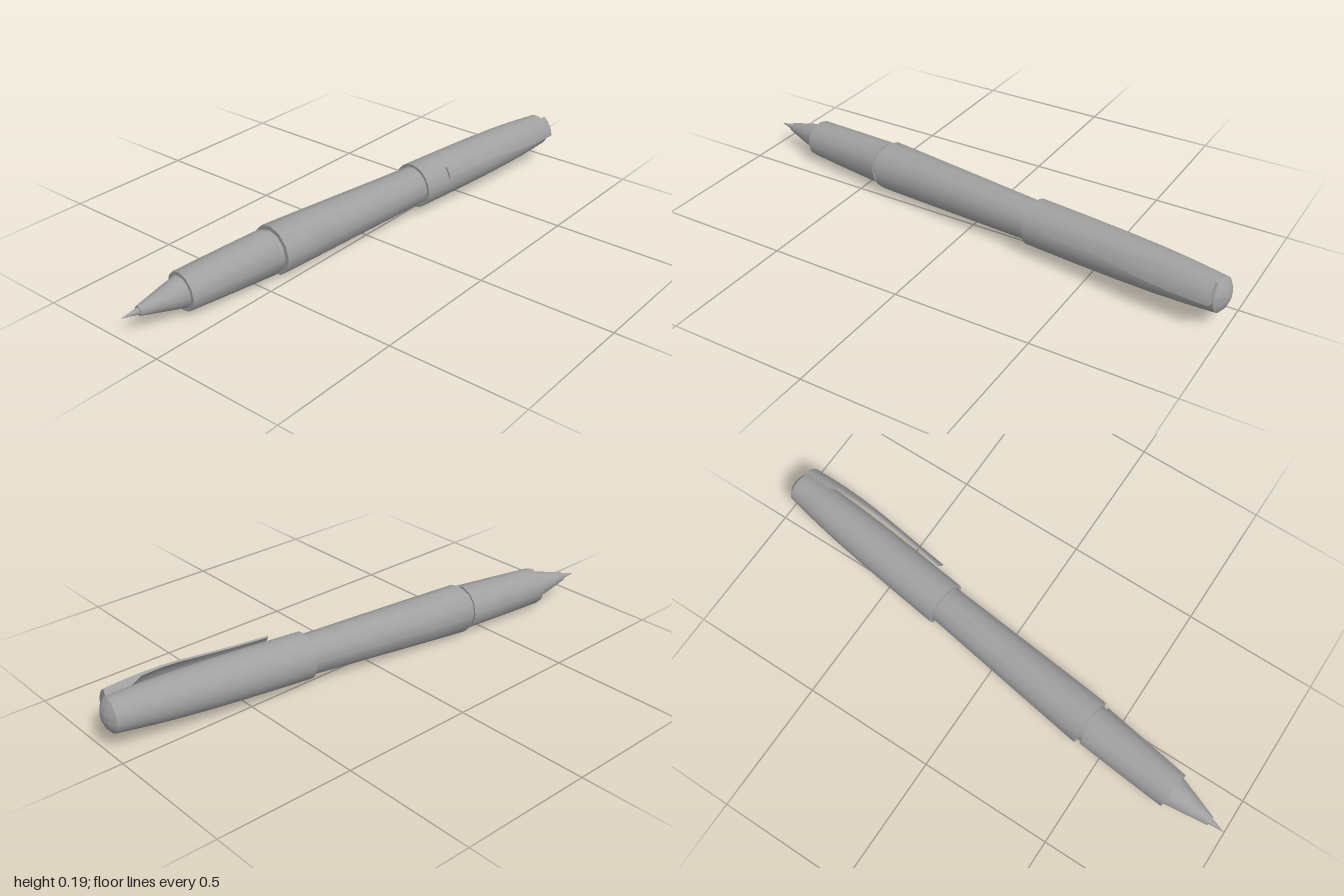
import * as THREE from 'three';
import { toCreasedNormals } from 'three/addons/utils/BufferGeometryUtils.js';

const grey = new THREE.MeshStandardMaterial({ color: 0xa0a0a0 });
grey.name = 'satin grey';

// Turned part along z; profile is [z, radius] from back to front.
function turned(name, sides, profile) {
  const points = profile.map(([z, r]) => new THREE.Vector2(r, z));
  const geometry = new THREE.LatheGeometry(points, sides).rotateX(Math.PI / 2);
  const mesh = new THREE.Mesh(toCreasedNormals(geometry, 0.6), grey);
  mesh.name = name;
  return mesh;
}

// Curved strip lofted from rows of [z, outer radius, inner radius, half width].
function makeClip() {
  const rows = [
    [-0.975, 0.085, 0.056, 0.043], [-0.93, 0.091, 0.060, 0.043],
    [-0.89, 0.096, 0.064, 0.042], [-0.84, 0.101, 0.090, 0.041],
    [-0.77, 0.106, 0.098, 0.037], [-0.70, 0.108, 0.101, 0.031],
    [-0.63, 0.108, 0.101, 0.024], [-0.56, 0.107, 0.100, 0.020],
    [-0.48, 0.106, 0.099, 0.019], [-0.36, 0.105, 0.098, 0.022],
  ];
  const middle = 0.52, steps = 8, ring = 2 * (steps + 1);
  const positions = [], index = [];
  for (const [z, outer, inner, half] of rows) {
    const spread = half / outer;
    for (let i = 0; i < ring; i++) {
      const back = i > steps;
      const t = (back ? ring - 1 - i : i) / steps * 2 - 1;
      const a = middle + t * spread, r = back ? inner : outer;
      positions.push(r * Math.cos(a), r * Math.sin(a), z);
    }
  }
  for (let j = 0; j < rows.length - 1; j++) {
    for (let i = 0; i < ring; i++) {
      const a = j * ring + i, b = j * ring + (i + 1) % ring;
      index.push(a, b, b + ring, a, b + ring, a + ring);
    }
  }
  // End faces
  const last = (rows.length - 1) * ring;
  for (let i = 0; i < steps; i++) {
    const a = i, b = i + 1, c = ring - 2 - i, d = ring - 1 - i;
    index.push(a, c, b, a, d, c);
    index.push(last + a, last + b, last + c, last + a, last + c, last + d);
  }
  const geometry = new THREE.BufferGeometry();
  geometry.setAttribute('position', new THREE.Float32BufferAttribute(positions, 3));
  geometry.setIndex(index);
  const mesh = new THREE.Mesh(toCreasedNormals(geometry, 0.6), grey);
  mesh.name = 'clip';
  return mesh;
}

export function createModel() {
  const pen = new THREE.Group();
  pen.name = 'pen';

  pen.add(
    // Cone with a small collar and fine point
    turned('writingTip', 16, [
      [0.78, 0.057], [0.84, 0.043], [0.90, 0.028], [0.945, 0.017],
      [0.945, 0.012], [0.955, 0.010], [0.975, 0.006], [1.008, 0],
    ]),
    turned('gripSection', 12, [
      [0.435, 0.074], [0.435, 0.082], [0.60, 0.077], [0.785, 0.070], [0.785, 0.055],
    ]),
    turned('grooveRing', 12, [[0.40, 0.075], [0.44, 0.075]]),
    turned('barrel', 12, [
      [-0.32, 0], [-0.32, 0.070], [-0.25, 0.073], [0, 0.080],
      [0.25, 0.087], [0.415, 0.091], [0.415, 0.074],
    ]),
    // Domed cap with a rolled-in open rim
    turned('cap', 32, [
      [-1.007, 0], [-1.003, 0.022], [-0.994, 0.044], [-0.98, 0.061],
      [-0.92, 0.066], [-0.85, 0.0715], [-0.75, 0.077], [-0.62, 0.081],
      [-0.45, 0.0835], [-0.262, 0.0845], [-0.262, 0.074], [-0.32, 0.072],
    ]),
    makeClip(),
  );

  // Lay the pen along its slightly slanted axis
  pen.position.set(-0.0227, 0.104, 0);
  pen.lookAt(-0.0227 - 0.131, 0.104 - 0.0185, 1);

  const model = new THREE.Group();
  model.name = 'model';
  model.add(pen);
  return model;
}
